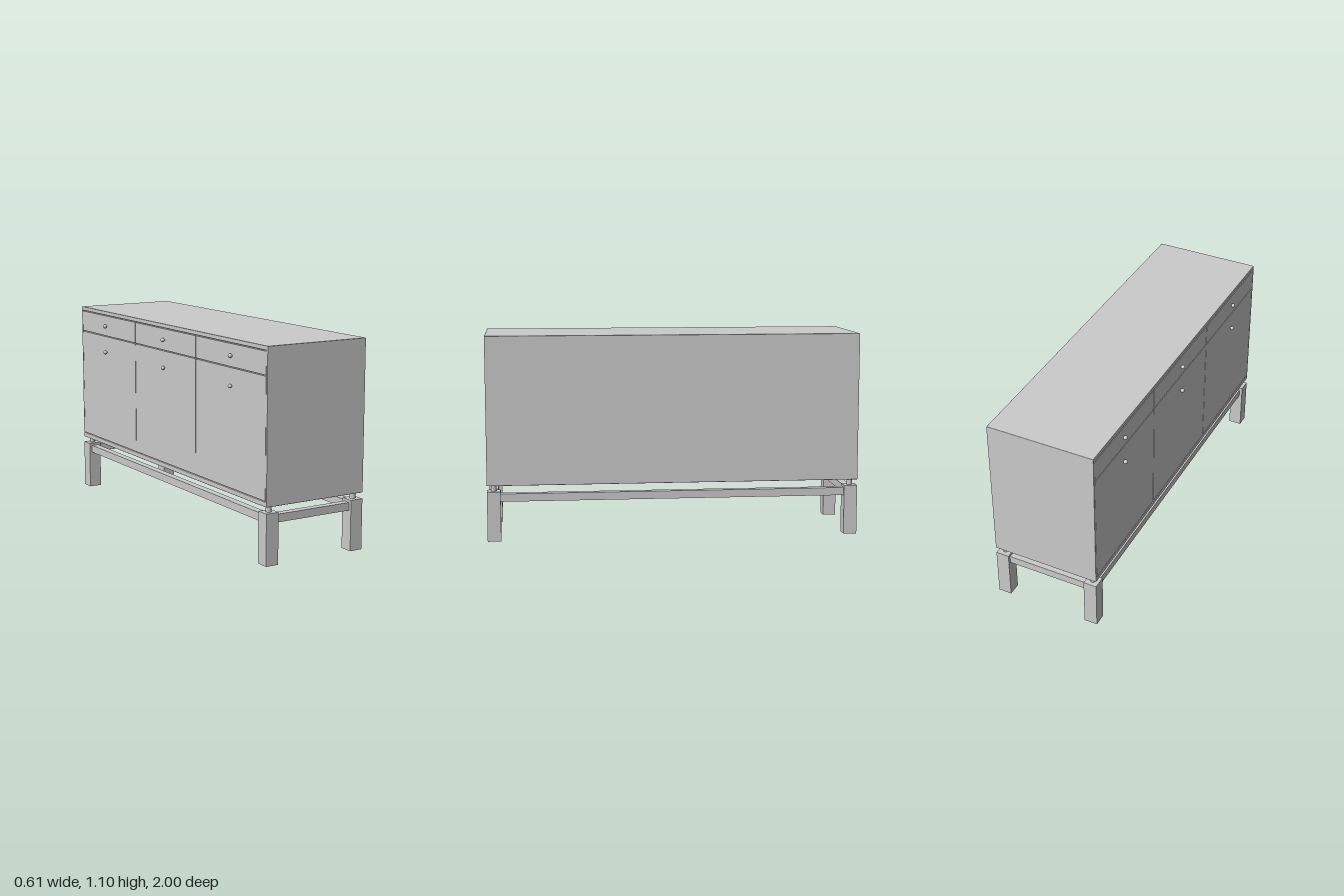
import * as THREE from 'three';
import { RoundedBoxGeometry } from 'three/addons/geometries/RoundedBoxGeometry.js';

const X0 = -0.285, X1 = 0.303, Y0 = 0.3, Y1 = 1.095;

export function createModel() {
  const model = new THREE.Group();
  model.name = 'sideboard';
  const material = new THREE.MeshStandardMaterial({ color: 0xcccccc });

  const add = (name, geometry, x, y, z, parent = model) => {
    const mesh = new THREE.Mesh(geometry, material);
    mesh.name = name;
    mesh.position.set(x, y, z);
    parent.add(mesh);
    return mesh;
  };
  // box given by its limits; a radius softens its edges
  const box = (name, [xa, xb], [ya, yb], [za, zb], parent = model, radius = 0) => {
    const size = [xb - xa, yb - ya, zb - za];
    const geometry = radius ? new RoundedBoxGeometry(...size, 2, radius) : new THREE.BoxGeometry(...size);
    return add(name, geometry, (xa + xb) / 2, (ya + yb) / 2, (za + zb) / 2, parent);
  };

  // cabinet: core behind the fronts, wrapped by top, bottom and end panels
  const cabinet = new THREE.Group();
  cabinet.name = 'cabinet';
  model.add(cabinet);
  box('core', [X0 + 0.012, X1], [Y0 + 0.01, Y1 - 0.01], [-0.995, 0.995], cabinet);
  box('topPanel', [X0, X1], [Y1 - 0.022, Y1], [-1, 1], cabinet, 0.003);
  box('bottomPanel', [X0, X1], [Y0, Y0 + 0.026], [-1, 1], cabinet, 0.003);
  for (const s of [-1, 1]) {
    const z = [s * 0.99, s].sort((a, b) => a - b);
    box('endPanel', [X0, X1], [Y0 + 0.003, Y1 - 0.003], z, cabinet);
  }

  // three bays on the -x side, each with a drawer above a door
  const bay = 0.66, gap = 0.002;
  const stem = new THREE.CylinderGeometry(0.005, 0.005, 0.012, 16).rotateZ(Math.PI / 2);
  const ball = new THREE.SphereGeometry(0.011, 20, 14);
  for (let i = -1; i <= 1; i++) {
    const z = [(i - 0.5) * bay + gap, (i + 0.5) * bay - gap];
    box('drawerFront', [X0, X0 + 0.014], [0.953, 1.069], z);
    box('door', [X0, X0 + 0.014], [0.33, 0.948], z);
    for (const y of [1.009, 0.857]) {
      add('knobStem', stem, X0 - 0.003, y, i * 0.68);
      add('knob', ball, X0 - 0.011, y, i * 0.68);
    }
  }

  // base: four square legs with pegs carrying the cabinet, joined by rails
  const legSize = 0.072, legTop = 0.268, railY = [0.212, 0.254], half = 0.02;
  const legX = [X0 + legSize / 2, X1 - legSize / 2];
  const legZ = 1 - legSize / 2;
  const peg = new THREE.CylinderGeometry(0.0145, 0.0145, Y0 - legTop + 0.01, 24);
  for (const x of legX) {
    for (const s of [-1, 1]) {
      const z = s * legZ;
      box('leg', [x - legSize / 2, x + legSize / 2], [0, legTop], [z - legSize / 2, z + legSize / 2]);
      add('peg', peg, x, (Y0 + legTop) / 2, z);
    }
    box('longRail', [x - half, x + half], railY, [-legZ, legZ]);
  }
  for (const s of [-1, 1]) {
    box('endRail', legX, railY, [s * legZ - half, s * legZ + half]);
  }
  return model;
}
